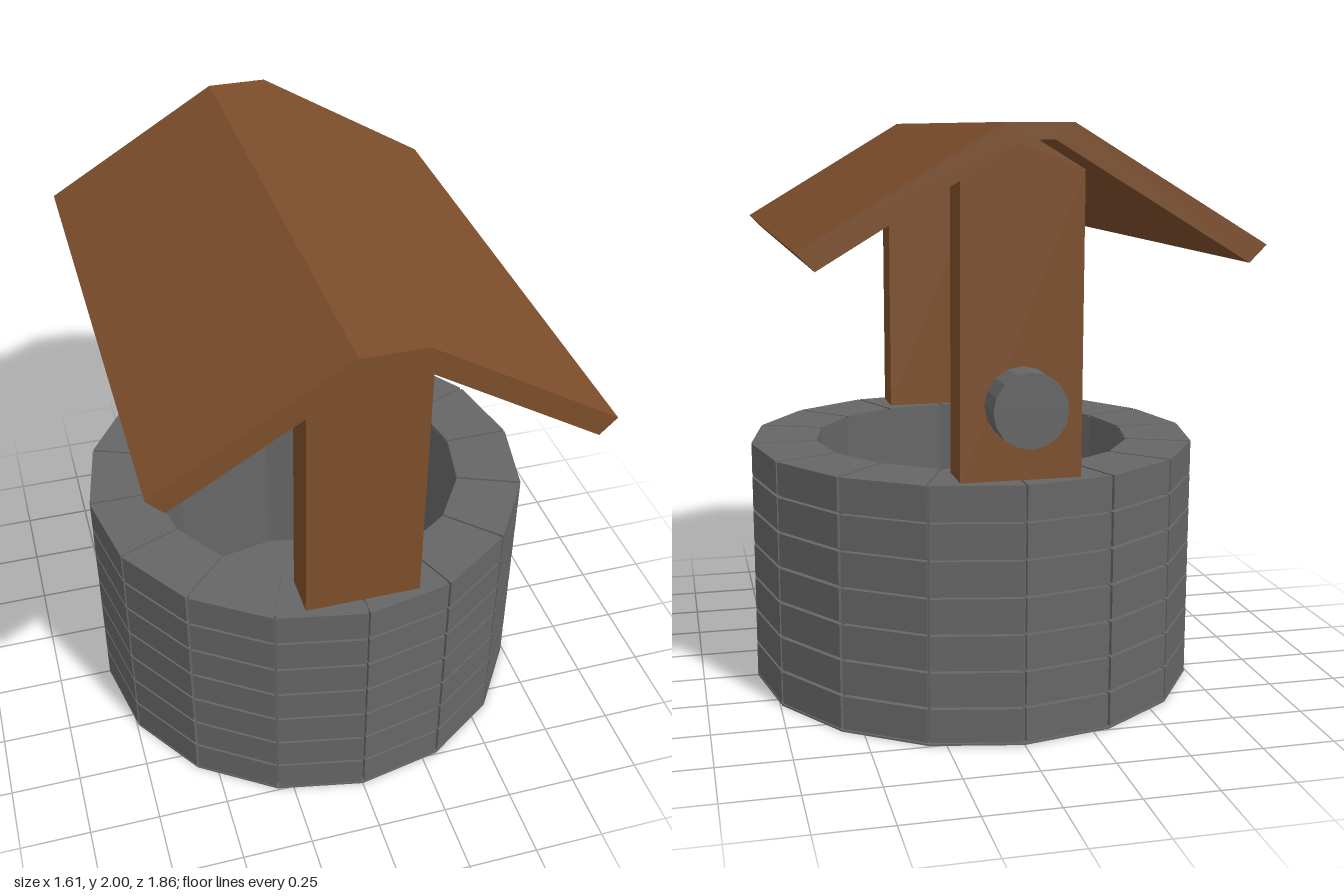
import * as THREE from 'three';

const SIDES = 16, ROWS = 7, STEP = (Math.PI * 2) / SIDES;
const R_OUT = 0.805, R_IN = 0.57, WALL_H = 0.875, GAP = 0.01;

const paint = (color) => new THREE.MeshStandardMaterial({ color, flatShading: true });

function addMesh(parent, name, geometry, material) {
  const mesh = new THREE.Mesh(geometry, material);
  mesh.name = name;
  parent.add(mesh);
  return mesh;
}

function extrude(points, depth) {
  const shape = new THREE.Shape(points.map(([x, y]) => new THREE.Vector2(x, y)));
  return new THREE.ExtrudeGeometry(shape, { depth, bevelEnabled: false });
}

// Right half of an outline followed by its mirror image
const mirrored = (half) => [...half, ...half.map(([x, y]) => [-x, y]).reverse()];

export function createModel() {
  const model = new THREE.Group();
  model.name = 'well';
  const stone = paint(0x666666), wood = paint(0x7d4e2a), hemp = paint(0xd0a860);

  // Mortar core showing in the joints, smooth faceted inner wall
  const core = [[0.785, 0], [0.785, 0.868], [R_IN, 0.868], [R_IN, 0]];
  addMesh(model, 'mortarCore',
    new THREE.LatheGeometry(core.map(([x, y]) => new THREE.Vector2(x, y)), SIDES), stone);
  const base = addMesh(model, 'base', new THREE.CylinderGeometry(R_OUT, R_OUT, 0.006, SIDES), stone);
  base.position.y = 0.003;

  // Wedge-shaped bricks, one per side and row, with narrow joints
  const bricks = new THREE.Group();
  bricks.name = 'bricks';
  model.add(bricks);
  const half = STEP / 2, rowH = WALL_H / ROWS;
  const across = (r) => r * Math.sin(half) - GAP / 2;
  const a = R_IN * Math.cos(half) + 0.001, b = R_OUT * Math.cos(half);
  const wedge = [[a, -across(R_IN)], [b, -across(R_OUT)], [b, across(R_OUT)], [a, across(R_IN)]];
  const brick = extrude(wedge, rowH - GAP).rotateX(-Math.PI / 2);
  for (let row = 0; row < ROWS; row++) {
    for (let i = 0; i < SIDES; i++) {
      const mesh = addMesh(bricks, 'brick', brick, stone);
      mesh.position.y = row * rowH + GAP;
      mesh.rotation.y = (i + 0.5) * STEP;
    }
  }

  // Posts, with tops cut to fit under the roof
  const post = extrude(mirrored([[0.2, 0.87], [0.2, 1.857], [0.045, 1.95]]), 0.148);
  addMesh(model, 'frontPost', post, wood).position.z = 0.587;
  addMesh(model, 'backPost', post, wood).position.z = -0.735;

  // Bent roof with a flat ridge
  const top = [[-0.725, 1.63], [-0.105, 2], [0.105, 2], [0.725, 1.63]];
  const under = [[0.67, 1.575], [0.045, 1.95], [-0.045, 1.95], [-0.67, 1.575]];
  addMesh(model, 'roof', extrude([...top, ...under], 1.86), wood).position.z = -0.93;

  // Rope hanging from the ridge
  const rope = addMesh(model, 'rope', new THREE.CylinderGeometry(0.012, 0.012, 1.9, 8), hemp);
  rope.position.y = 1;

  // Round winding knob on the back post
  const knob = addMesh(model, 'knob',
    new THREE.CylinderGeometry(0.122, 0.122, 0.125, 16).rotateX(Math.PI / 2), stone);
  knob.position.set(0, 1.123, -0.7925);

  return model;
}
